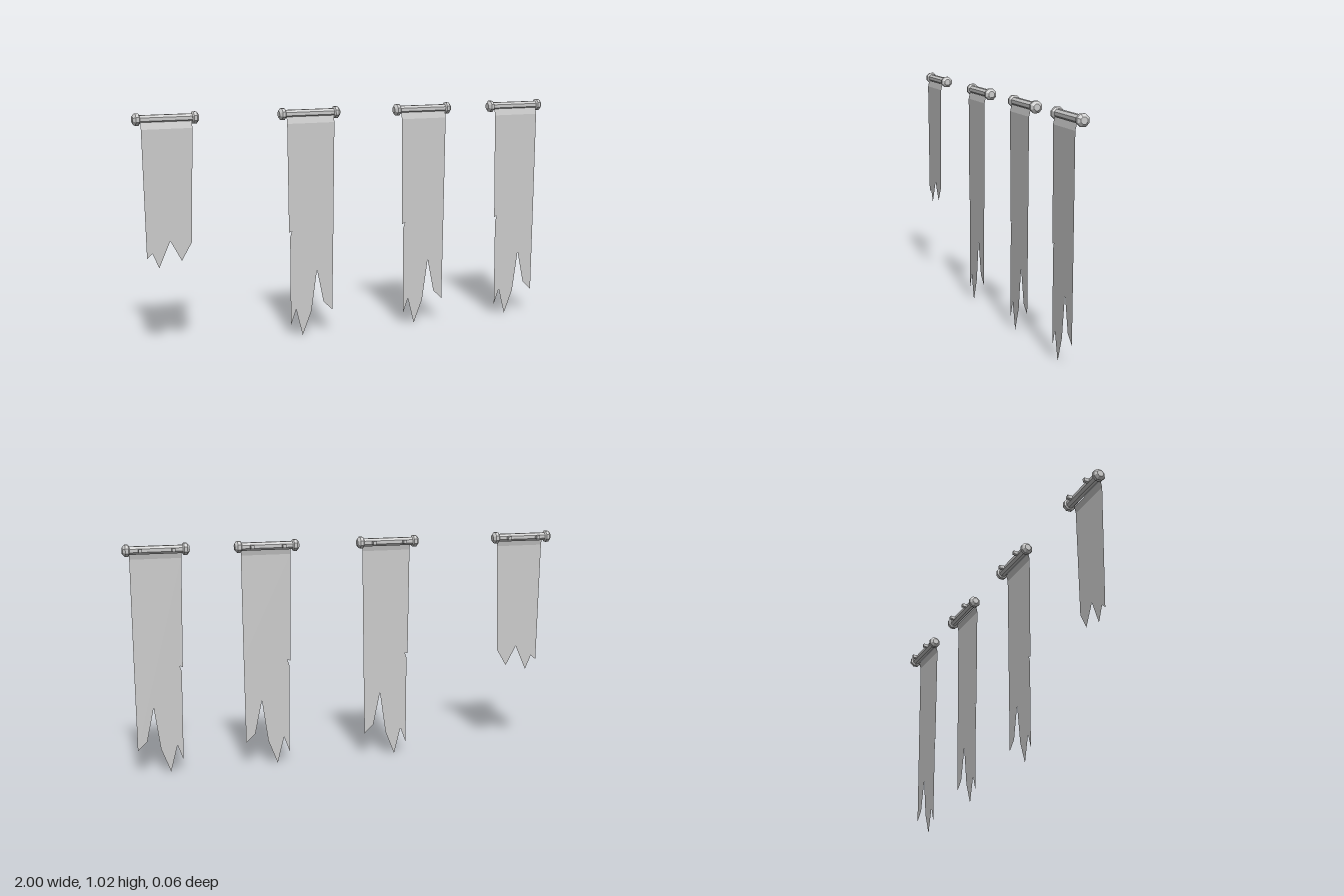
import * as THREE from 'three';

const ROD_Y = 1.004, ROD_Z = 0.008, CLOTH_Z = 0.031, HEM_Y = 0.962;

// Torn outlines below the hem, as [x, y] from the upper left corner round to the upper right
const LONG = [[-0.114, HEM_Y], [-0.109, 0.478], [-0.095, 0.484], [-0.104, 0.457], [-0.103, 0.055],
  [-0.077, 0.125], [-0.046, 0.005], [-0.003, 0.112], [0.025, 0.302], [0.057, 0.15], [0.1, 0.11],
  [0.106, 0.5], [0.112, HEM_Y]];
const SHORT = [[-0.114, HEM_Y], [-0.101, 0.412], [-0.077, 0.433], [-0.048, 0.368], [0.003, 0.482],
  [0.053, 0.392], [0.099, 0.47], [0.111, HEM_Y]];

export function createModel() {
  const model = new THREE.Group();
  model.name = 'hangingBanners';
  const metal = new THREE.MeshStandardMaterial({ color: 0xcccccc, flatShading: true });
  const cloth = new THREE.MeshStandardMaterial({ color: 0xcccccc, flatShading: true, side: THREE.DoubleSide });

  const add = (group, name, geometry, material) => {
    const mesh = new THREE.Mesh(geometry, material);
    mesh.name = name;
    group.add(mesh);
    return mesh;
  };

  // Eight-sided turned part, flats facing up and forward
  const turned = (profile) => new THREE.LatheGeometry(
    profile.map(([r, y]) => new THREE.Vector2(r, y)), 8, Math.PI / 8);

  const rodGeometry = turned([[0.019, -0.12], [0.019, 0.12]]);
  const knobGeometry = turned([[0, 0.115], [0.02, 0.115], [0.0275, 0.12], [0.0275, 0.134], [0.015, 0.145], [0, 0.145]]);
  const pegGeometry = new THREE.BoxGeometry(0.015, 0.015, 0.03);

  function banner(x, outline) {
    const group = new THREE.Group();
    group.name = 'banner';
    group.position.x = x;

    // Rod with a faceted knob on each end and two wall pegs behind
    const rod = add(group, 'rod', rodGeometry, metal);
    rod.position.set(0, ROD_Y, ROD_Z);
    rod.rotation.z = -Math.PI / 2;
    for (const side of [-1, 1]) {
      const knob = add(group, side > 0 ? 'leftKnob' : 'rightKnob', knobGeometry, metal);
      knob.position.copy(rod.position);
      knob.rotation.z = -side * Math.PI / 2;
      const peg = add(group, 'wallPeg', pegGeometry, metal);
      peg.position.set(side * 0.072, ROD_Y, -0.016);
    }

    // Hanging cloth with a torn lower edge
    const shape = new THREE.Shape(outline.map(([px, py]) => new THREE.Vector2(px, py)));
    add(group, 'cloth', new THREE.ShapeGeometry(shape), cloth).position.z = CLOTH_Z;

    // Hem sloping back from the cloth to the rod
    const left = outline[0][0], right = outline[outline.length - 1][0];
    const hem = new THREE.PlaneGeometry(right - left, 0.03);
    hem.translate((left + right) / 2, HEM_Y + 0.015, CLOTH_Z);
    const pos = hem.attributes.position;
    for (let i = 0; i < pos.count; i++) if (pos.getY(i) > HEM_Y + 0.01) pos.setZ(i, CLOTH_Z - 0.007);
    hem.computeVertexNormals();
    add(group, 'hem', hem, cloth);

    model.add(group);
  }

  banner(-0.855, SHORT);
  for (const x of [-0.197, 0.365, 0.855]) banner(x, LONG);
  return model;
}
